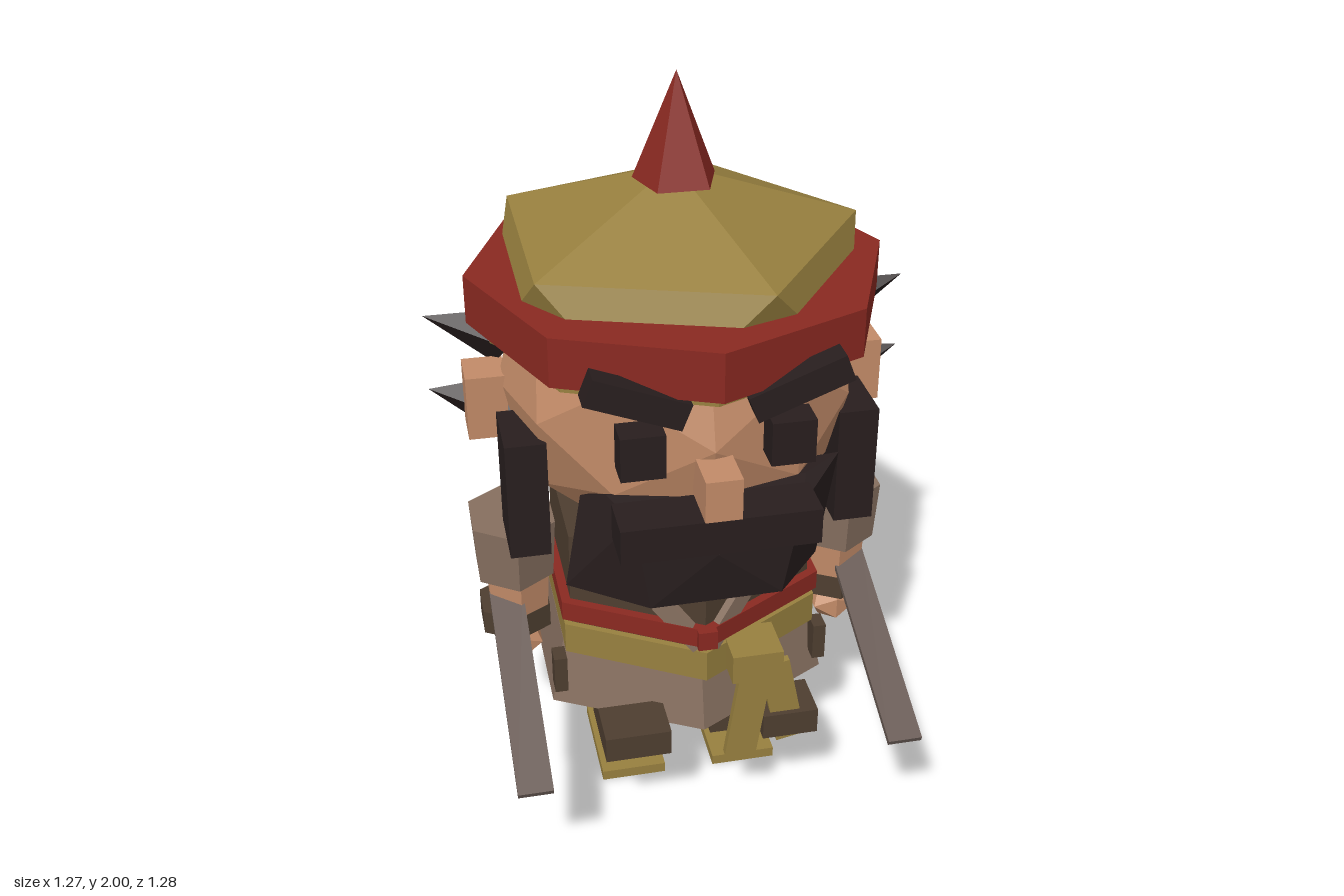
import * as THREE from 'three';
import { ConvexGeometry } from 'three/addons/geometries/ConvexGeometry.js';

const mat = (name, color) => {
  const m = new THREE.MeshStandardMaterial({ color, flatShading: true });
  m.name = name;
  return m;
};

export function createModel() {
  const gold = mat('gold cloth', 0x98803f), red = mat('red cloth', 0x8a2921);
  const skin = mat('skin', 0xc28b68), hair = mat('black hair', 0x281e1e);
  const brown = mat('dark brown', 0x4e3e30), tunic = mat('taupe cloth', 0x866f5f);
  const steel = mat('dull steel', 0x665852);
  const model = new THREE.Group();
  const CZ = 0.035; // body axis

  const add = (name, geo, material, x = 0, y = 0, z = 0, rx = 0, ry = 0, rz = 0) => {
    const m = new THREE.Mesh(geo, material);
    m.name = name;
    m.position.set(x, y, z);
    m.rotation.set(rx, ry, rz);
    model.add(m);
    return m;
  };
  // box from its low and high corners
  const block = (name, material, a, b) => add(name,
    new THREE.BoxGeometry(b[0] - a[0], b[1] - a[1], b[2] - a[2]), material,
    (a[0] + b[0]) / 2, (a[1] + b[1]) / 2, (a[2] + b[2]) / 2);
  // six-sided prism with corners at front and back; sx stretches width
  const hexagon = (name, material, rt, rb, y0, y1, x, z, sx = 1) => add(name,
    new THREE.CylinderGeometry(rt, rb, y1 - y0, 6).scale(sx, 1, 1), material, x, (y0 + y1) / 2, z);
  const hull = pts => new ConvexGeometry(pts.map(p => new THREE.Vector3(...p)));

  // Torso and clothing
  hexagon('torso', brown, 0.372, 0.376, 0.49, 0.85, 0, CZ);
  hexagon('redBelt', red, 0.402, 0.402, 0.6, 0.655, 0, CZ);
  hexagon('sash', gold, 0.395, 0.395, 0.49, 0.58, 0, CZ);
  hexagon('skirt', tunic, 0.37, 0.41, 0.305, 0.495, 0, 0, 1.07);
  for (const s of [-1, 1])
    add('lapel', new THREE.BoxGeometry(0.055, 0.28, 0.03), tunic, s * 0.095, 0.695, 0.362, 0, s * 0.52, -s * 0.78);
  block('beltClasp', red, [-0.025, 0.6, 0.4], [0.025, 0.655, 0.442]);
  block('sashKnot', gold, [0.06, 0.5, 0.34], [0.195, 0.585, 0.47]);
  add('sashTail', new THREE.BoxGeometry(0.085, 0.3, 0.022), gold, 0.11, 0.39, 0.445, 0, 0, -0.14);
  add('sashTail', new THREE.BoxGeometry(0.08, 0.26, 0.022), gold, 0.205, 0.4, 0.435, 0, 0, 0.2);
  block('pouch', brown, [-0.275, 0.285, 0.33], [-0.1, 0.36, 0.46]);
  block('pouch', brown, [0.15, 0.29, 0.33], [0.3, 0.365, 0.46]);

  // Paired limbs and swords
  for (const s of [-1, 1]) {
    hexagon('trouser', brown, 0.153, 0.119, 0.185, 0.4, s * 0.163, CZ);
    block('shin', brown, [s * 0.16 - 0.074, 0.025, -0.05], [s * 0.16 + 0.074, 0.2, 0.12]);
    block('sandal', gold, [s * 0.16 - 0.09, 0, -0.075], [s * 0.16 + 0.09, 0.03, 0.22]);
    hexagon('sleeve', tunic, 0.145, 0.132, 0.655, 0.825, s * 0.45, CZ, 0.86);
    hexagon('forearm', skin, 0.095, 0.085, 0.5, 0.67, s * 0.445, CZ + 0.01);
    hexagon('cuff', brown, 0.105, 0.105, 0.475, 0.545, s * 0.455, CZ);
    add('hand', new THREE.IcosahedronGeometry(0.07, 0).scale(1, 0.85, 1), skin, s * 0.45, 0.43, 0.065);
    add('sword', new THREE.BoxGeometry(0.09, 0.016, 0.6), steel, s * 0.481, 0.488, 0.36, 0.38);
    add('sidePouch', new THREE.BoxGeometry(0.035, 0.11, 0.055), brown, s * 0.36, 0.425, 0.225);
  }

  // Head and face
  add('head', new THREE.IcosahedronGeometry(0.463, 1), skin, 0, 1.22, 0.027);
  block('nose', skin, [-0.045, 1.09, 0.45], [0.045, 1.2, 0.585]);
  block('moustache', hair, [-0.245, 0.99, 0.45], [0.245, 1.085, 0.575]);
  for (const s of [-1, 1]) {
    block('eye', hair, [s * 0.18 - 0.054, 1.19, 0.45], [s * 0.18 + 0.054, 1.305, 0.528]);
    add('eyebrow', new THREE.BoxGeometry(0.245, 0.07, 0.062), hair, s * 0.192, 1.393, 0.505, 0, 0, s * 0.37);
    block('ear', skin, [s * 0.495 - 0.052, 1.075, -0.052], [s * 0.495 + 0.052, 1.25, 0.063]);
    block('sideburn', hair, [s * 0.425 - 0.052, 0.84, 0.09], [s * 0.425 + 0.052, 1.165, 0.275]);
    // pointed tufts beside the ear
    for (const [y, r, z] of [[1.3, 0.075, -0.065], [1.09, 0.09, -0.08]]) {
      add('hairSpike', hull([[s * 0.4, y + r, z], [s * 0.46, y - r, z], [s * 0.43, y, z - r],
        [s * 0.43, y, z + r], [s * 0.635, y + 0.075, -0.065]]), hair);
    }
  }
  add('beard', hull([
    [-0.25, 1.08, 0.4], [0.25, 1.08, 0.4], [-0.3, 1.03, 0.31], [0.36, 1.08, 0.32],
    [-0.2, 1.06, 0.5], [0.22, 1.06, 0.5], [0, 0.96, 0.535], [-0.35, 0.8, 0.36],
    [0.3, 0.81, 0.36], [-0.16, 0.8, 0.5], [0.17, 0.81, 0.51], [-0.17, 0.74, 0.36],
    [0.02, 0.73, 0.38], [0.2, 0.75, 0.34], [-0.2, 0.8, 0.24], [0.2, 0.8, 0.24],
  ]), hair);

  // Back hair, stepped forward at the bottom
  const side = new THREE.Shape([[0.07, 0.835], [0.075, 0.94], [0.175, 1.0], [0.19, 1.24], [0.402, 1.25], [0.38, 0.83]]
    .map(p => new THREE.Vector2(...p)));
  const backHair = new THREE.ExtrudeGeometry(side, { depth: 0.8, bevelEnabled: false });
  add('backHair', backHair.translate(0, 0, -0.4).rotateY(Math.PI / 2), hair);

  // Hat: flattened twenty-sided crown, bands and spike
  const crown = [[0, 1.755, 0], [0, 1.17, 0]];
  for (let i = 0; i < 5; i++) {
    const a = i * Math.PI * 0.4, b = a + Math.PI / 5;
    crown.push([0.475 * Math.cos(a), 1.595, 0.475 * Math.sin(a)]);
    crown.push([0.475 * Math.cos(b), 1.315, 0.475 * Math.sin(b)]);
  }
  add('hatCrown', hull(crown), gold);
  add('hatBand', new THREE.CylinderGeometry(0.532, 0.532, 0.127, 8), red, 0, 1.458, CZ);
  add('hatRim', new THREE.CylinderGeometry(0.49, 0.49, 0.04, 8), gold, 0, 1.378, 0.025);
  add('hatSpike', new THREE.ConeGeometry(0.109, 0.27, 5), red, 0, 1.865, CZ, 0, Math.PI);

  // Knot and tails behind the hat, tails closing toward the bottom
  block('hatKnot', gold, [-0.11, 1.305, -0.578], [0.11, 1.477, -0.45]);
  for (const s of [-1, 1])
    add('hatTail', new THREE.BoxGeometry(0.125, 0.6, 0.04), gold, s * 0.12, 1.045, -0.568, 0.17, 0, -s * 0.2);

  return model;
}
